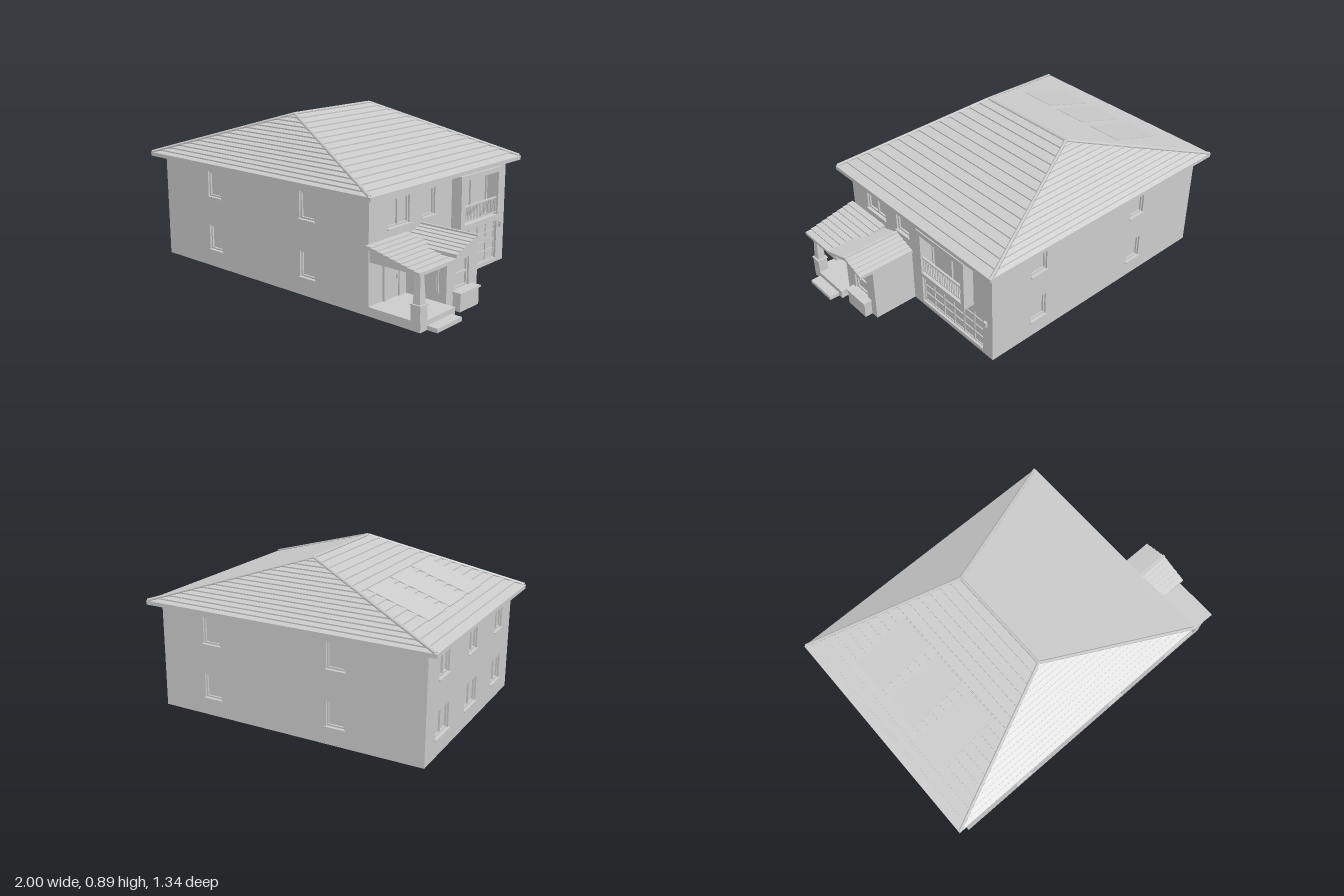
import * as THREE from 'three';

const lightGrey = new THREE.MeshStandardMaterial({ color: 0xcccccc, side: THREE.DoubleSide });
lightGrey.name = 'lightGrey';
const WALL = 0.025;

function add(parent, name, geo) {
  const m = new THREE.Mesh(geo, lightGrey);
  m.name = name;
  parent.add(m);
  return m;
}

// box given by its limits
function box(parent, name, x0, x1, y0, y1, z0, z1) {
  const g = new THREE.BoxGeometry(x1 - x0, y1 - y0, z1 - z0);
  g.translate((x0 + x1) / 2, (y0 + y1) / 2, (z0 + z1) / 2);
  return add(parent, name, g);
}

const rect = (x0, x1, y0, y1) => [[x0, y0], [x1, y0], [x1, y1], [x0, y1]];
const vecs = pts => pts.map(p => new THREE.Vector2(p[0], p[1]));

// flat panel with rectangular holes, from z0 to z1
function panel(parent, name, outline, holes, z0, z1) {
  const s = new THREE.Shape(vecs(outline));
  holes.forEach(h => s.holes.push(new THREE.Path(vecs(rect(...h)))));
  const g = new THREE.ExtrudeGeometry(s, { depth: z1 - z0, bevelEnabled: false });
  return add(parent, name, g.translate(0, 0, z0));
}

// window set back in its opening: frame, bars, pane and sill
function windowUnit(parent, [x0, x1, y0, y1], cols = 1, rows = 1) {
  const g = new THREE.Group();
  g.name = 'window';
  const b = 0.009, holes = [];
  const w = (x1 - x0 - b) / cols, h = (y1 - y0 - b) / rows;
  for (let c = 0; c < cols; c++) for (let r = 0; r < rows; r++)
    holes.push([x0 + c * w + b, x0 + (c + 1) * w, y0 + r * h + b, y0 + (r + 1) * h]);
  panel(g, 'windowFrame', rect(x0, x1, y0, y1), holes, -0.026, -0.01);
  box(g, 'windowPane', x0, x1, y0, y1, -0.029, -0.02);
  box(g, 'windowSill', x0 - 0.006, x1 + 0.006, y0 - 0.007, y0, -0.02, 0.009);
  parent.add(g);
}

// wall in its own plane (outer face at z = 0), turned to its side of the house
function facade(parent, name, outline, openings, angle, x, z, extraHoles = []) {
  const g = new THREE.Group();
  g.name = name;
  panel(g, 'wall', outline, [...openings.map(o => o[0]), ...extraHoles], -WALL, 0);
  openings.forEach(o => windowUnit(g, ...o));
  g.rotation.y = angle;
  g.position.set(x, 0, z);
  parent.add(g);
  return g;
}

const UP = [0.41, 0.555], LOW = [0.1, 0.24];

// roof profile stepping down from (x0,y0) to (x1,y1), one tooth per tile course
function steps(x0, y0, x1, y1, n, lip) {
  const pts = [[x0, y0]];
  for (let i = 1; i <= n; i++) {
    const x = x0 + (x1 - x0) * i / n, y = y0 + (y1 - y0) * i / n;
    pts.push([x, y + lip], [x, y]);
  }
  return pts;
}

function mainRoof(parent) {
  const g = new THREE.Group();
  g.name = 'mainRoof';
  const cx = -0.157, hx = 0.843, hz = 0.665, ridgeZ = 0.312, y0 = 0.608, y1 = 0.882;
  const n = 15, lip = 0.007, pos = [];
  const ring = (t, dy) => [[1, 1], [1, -1], [-1, -1], [-1, 1]].map(([sx, sz]) =>
    [cx + sx * hx * (1 - t), y0 + (y1 - y0) * t + dy, sz * (hz + (ridgeZ - hz) * t)]);
  const band = (a, b) => {
    for (let k = 0; k < 4; k++) {
      const j = (k + 1) % 4;
      pos.push(...a[k], ...a[j], ...b[j], ...a[k], ...b[j], ...b[k]);
    }
  };
  // tile courses, each with a small riser at its lower edge
  for (let i = 0; i < n; i++) {
    band(ring(i / n, 0), ring(i / n, lip));
    band(ring(i / n, lip), ring((i + 1) / n, 0));
  }
  const tiles = new THREE.BufferGeometry();
  tiles.setAttribute('position', new THREE.Float32BufferAttribute(pos, 3));
  tiles.computeVertexNormals();
  add(g, 'roofTiles', tiles);

  // eaves board and soffit
  const eaves = panel(g, 'eaves', rect(cx - hx, cx + hx, -hz, hz), [[-0.915, 0.605, -0.585, 0.585]], 0.593, 0.608);
  eaves.rotation.x = -Math.PI / 2;

  // hip and ridge caps
  const cap = (name, a, b) => add(g, name, new THREE.TubeGeometry(
    new THREE.LineCurve3(new THREE.Vector3(...a), new THREE.Vector3(...b)), 1, 0.009, 6));
  const low = ring(0.01, lip), top = ring(1, 0.002);
  for (let k = 0; k < 4; k++) cap('hipCap', low[k], top[k]);
  cap('ridgeCap', top[0], top[1]);

  // flat panels on the rear slope, in three pairs
  const slope = Math.atan2(y1 - y0, hx);
  for (const z of [-0.272, -0.002, 0.262]) for (const x of [-0.752, -0.585]) {
    const p = add(g, 'roofPanel', new THREE.BoxGeometry(0.168 / Math.cos(slope), 0.008, 0.205));
    p.position.set(x, y0 + (y1 - y0) * (x - cx + hx) / hx + 0.003, z);
    p.rotation.z = slope;
  }
  parent.add(g);
}

// balcony surround with doors and railing
function balcony(parent) {
  const g = new THREE.Group();
  g.name = 'balcony';
  panel(g, 'balconySurround', rect(0.075, 0.462, 0.29, 0.588), [[0.11, 0.435, 0.315, 0.56]], 0, 0.063);
  windowUnit(g, [0.11, 0.435, 0.315, 0.56], 2, 1);
  box(g, 'railTop', 0.11, 0.435, 0.408, 0.416, 0.042, 0.054);
  box(g, 'railBottom', 0.11, 0.435, 0.325, 0.331, 0.044, 0.052);
  for (let i = 0; i <= 22; i++) {
    const u = 0.116 + i * 0.01425;
    box(g, 'baluster', u - 0.002, u + 0.002, 0.328, 0.41, 0.046, 0.05);
  }
  parent.add(g);
}

function garageDoor(parent) {
  const g = new THREE.Group();
  g.name = 'garageDoor';
  box(g, 'doorLeaf', 0.02, 0.53, 0.025, 0.25, -0.03, -0.02);
  const holes = [], w = 0.506 / 6, h = 0.221 / 4;
  for (let c = 0; c < 6; c++) for (let r = 0; r < 4; r++)
    holes.push([0.026 + c * w, 0.018 + (c + 1) * w, 0.031 + r * h, 0.023 + (r + 1) * h]);
  panel(g, 'doorPanels', rect(0.02, 0.53, 0.025, 0.25), holes, -0.022, -0.014);
  parent.add(g);
}

// gabled bay beside the porch
function bay(parent) {
  const g = new THREE.Group();
  g.name = 'gabledBay';
  const d = 0.26;
  facade(g, 'bayFront', [[-0.325, 0], [-0.06, 0], [-0.06, 0.325], [-0.19, 0.368], [-0.325, 0.323]],
    [[[-0.25, -0.135, 0.1, 0.25], 1, 2]], 0, 0, d);
  box(g, 'baySide', -0.325, -0.305, 0, 0.323, 0, d - WALL);
  box(g, 'baySide', -0.08, -0.06, 0, 0.325, 0, d - WALL);
  box(g, 'planter', -0.268, -0.107, 0, 0.09, d, d + 0.045);
  box(g, 'planterRim', -0.276, -0.1, 0.09, 0.1, d, d + 0.052);
  // narrow side windows looking onto the porch
  for (const [z0, z1, y1] of [[0.078, 0.112, 0.27], [0.175, 0.215, 0.25]]) {
    box(g, 'sideWindowFrame', -0.331, -0.325, 0.09, y1, z0, z1);
    box(g, 'sideWindowPane', -0.334, -0.33, 0.099, y1 - 0.009, z0 + 0.008, z1 - 0.008);
  }
  const right = steps(-0.19, 0.382, -0.052, 0.334, 5, 0.005);
  const left = steps(-0.19, 0.382, -0.365, 0.324, 6, 0.005);
  const profile = [...right, [-0.052, 0.32], [-0.19, 0.366], [-0.365, 0.31], ...left.reverse()];
  profile.pop();
  panel(g, 'gableRoof', profile, [], 0, 0.342);
  box(g, 'ridgeCap', -0.197, -0.183, 0.378, 0.39, 0, 0.344);
  parent.add(g);
}

// porch with door, floor, step, tapered post and lean-to roof
function porch(parent) {
  const g = new THREE.Group();
  g.name = 'porch';
  box(g, 'porchFloor', -0.605, -0.325, 0, 0.048, 0, 0.315);
  box(g, 'porchStep', -0.553, -0.355, 0, 0.022, 0.315, 0.375);
  panel(g, 'doorFrame', rect(-0.5, -0.362, 0.048, 0.285), [[-0.485, -0.382, 0.048, 0.27]], 0, 0.014);
  box(g, 'frontDoor', -0.485, -0.382, 0.048, 0.27, 0, 0.006);
  box(g, 'doorHandle', -0.4, -0.394, 0.145, 0.165, 0.006, 0.016);
  box(g, 'sideLight', -0.36, -0.327, 0.048, 0.245, 0, 0.012);
  box(g, 'postBase', -0.606, -0.55, 0, 0.125, 0.258, 0.314);
  box(g, 'postBaseCap', -0.609, -0.546, 0.125, 0.132, 0.254, 0.318);
  const post = new THREE.CylinderGeometry(0.014 * Math.SQRT2, 0.022 * Math.SQRT2, 0.148, 4);
  post.rotateY(Math.PI / 4);
  post.translate(-0.578, 0.206, 0.286);
  const p = add(g, 'taperedPost', post.toNonIndexed());
  p.geometry.computeVertexNormals();
  box(g, 'frontBeam', -0.605, -0.325, 0.275, 0.295, 0.27, 0.302);
  // side beam, filled up to the roof slope
  const side = panel(g, 'sideBeam', [[0, 0.275], [0.27, 0.275], [0.27, 0.297], [0, 0.35]], [], -0.015, 0.015);
  side.rotation.y = -Math.PI / 2;
  side.position.x = -0.585;
  const slope = steps(0, 0.365, 0.325, 0.294, 9, 0.006);
  const roof = panel(g, 'porchRoof', [...slope, [0.325, 0.283], [0, 0.348]], [], 0, 0.32);
  roof.rotation.y = -Math.PI / 2;
  roof.position.x = -0.31;
  parent.add(g);
}

export function createModel() {
  const house = new THREE.Group();
  house.name = 'house';
  const H = 0.6, q = Math.PI / 2;

  // the two long plain walls
  facade(house, 'frontWall', rect(-0.935, 0.625, 0, H),
    [[-0.56, -0.455], [0.16, 0.265]].flatMap(x => [[[...x, ...UP]], [[...x, ...LOW]]]), 0, 0, 0.605);
  facade(house, 'backWall', rect(-0.625, 0.935, 0, H),
    [[-0.355, -0.25], [0.395, 0.5]].flatMap(x => [[[...x, ...UP]], [[...x, ...LOW]]]), 2 * q, 0, -0.605);

  // garden side
  facade(house, 'rightWall', rect(-0.58, 0.58, 0, H), [
    [[-0.46, -0.33, ...UP], 2], [[-0.06, 0.06, ...UP], 2], [[0.34, 0.46, ...UP], 2],
    [[-0.48, -0.31, ...LOW], 2], [[-0.085, 0.085, ...LOW], 2], [[0.33, 0.47, ...LOW], 2],
  ], -q, -0.935, 0);

  // entrance side
  const entrance = facade(house, 'leftWall', rect(-0.58, 0.58, 0, H),
    [[[-0.46, -0.29, ...UP], 2], [[-0.185, -0.075, ...UP], 1]], q, 0.625, 0,
    [[0.11, 0.435, 0.315, 0.56], [0.02, 0.53, 0.025, 0.25]]);
  balcony(entrance);
  garageDoor(entrance);
  bay(entrance);
  porch(entrance);
  box(entrance, 'wallLamp', 0.55, 0.568, 0.208, 0.24, 0, 0.015);

  mainRoof(house);
  return house;
}
